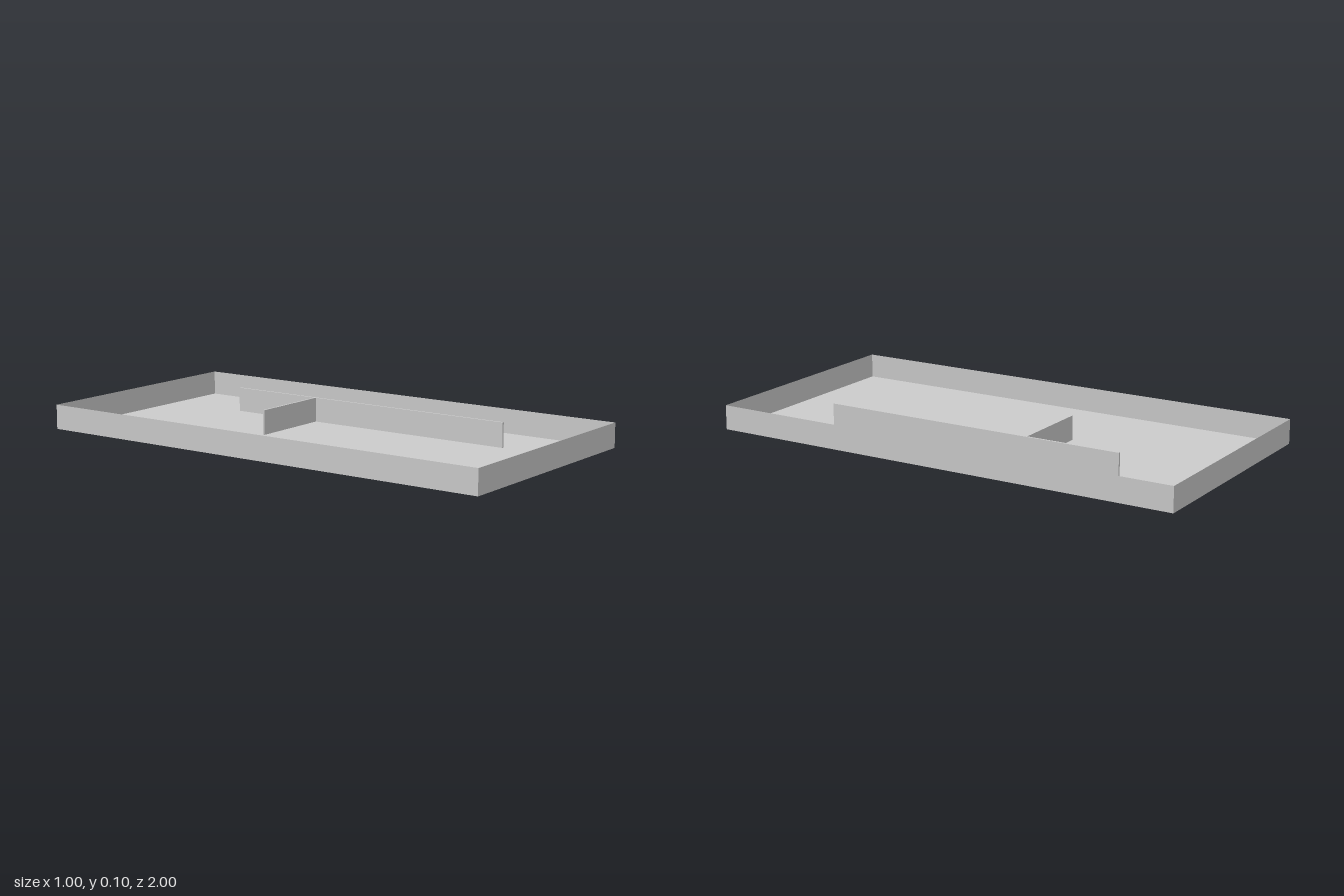
import * as THREE from 'three';

const WIDTH = 1, LENGTH = 2, HEIGHT = 0.1, THICK = 0.008;

export function createModel() {
  const group = new THREE.Group();
  const sheet = new THREE.MeshStandardMaterial({ color: 0xcccccc, flatShading: true, side: THREE.DoubleSide });
  const solid = new THREE.MeshStandardMaterial({ color: 0xcccccc, flatShading: true });

  function add(name, geometry, material, x, y, z) {
    const mesh = new THREE.Mesh(geometry, material);
    mesh.name = name;
    mesh.position.set(x, y, z);
    group.add(mesh);
    return mesh;
  }

  // Thin floor sheet, facing up
  add('floor', new THREE.PlaneGeometry(WIDTH, LENGTH), sheet, 0, 0, 0).rotation.x = -Math.PI / 2;

  // Thin outer walls in mirrored pairs, open at the top
  for (const s of [1, -1]) {
    add(s > 0 ? 'frontWall' : 'backWall', new THREE.PlaneGeometry(WIDTH, HEIGHT), sheet,
      0, HEIGHT / 2, s * LENGTH / 2).rotation.y = s > 0 ? 0 : Math.PI;
    add(s > 0 ? 'leftWall' : 'rightWall', new THREE.PlaneGeometry(LENGTH, HEIGHT), sheet,
      s * WIDTH / 2, HEIGHT / 2, 0).rotation.y = s * Math.PI / 2;
  }

  // Inner partitions: a long wall and a short one branching from its side
  const wallX = 0.248, spurEnd = -0.1;
  const spurLength = wallX - THICK / 2 - spurEnd;
  add('longPartition', new THREE.BoxGeometry(THICK, HEIGHT, 1.3), solid, wallX, HEIGHT / 2, 0);
  add('shortPartition', new THREE.BoxGeometry(spurLength, HEIGHT, THICK), solid,
    spurEnd + spurLength / 2, HEIGHT / 2, -0.25);

  return group;
}
